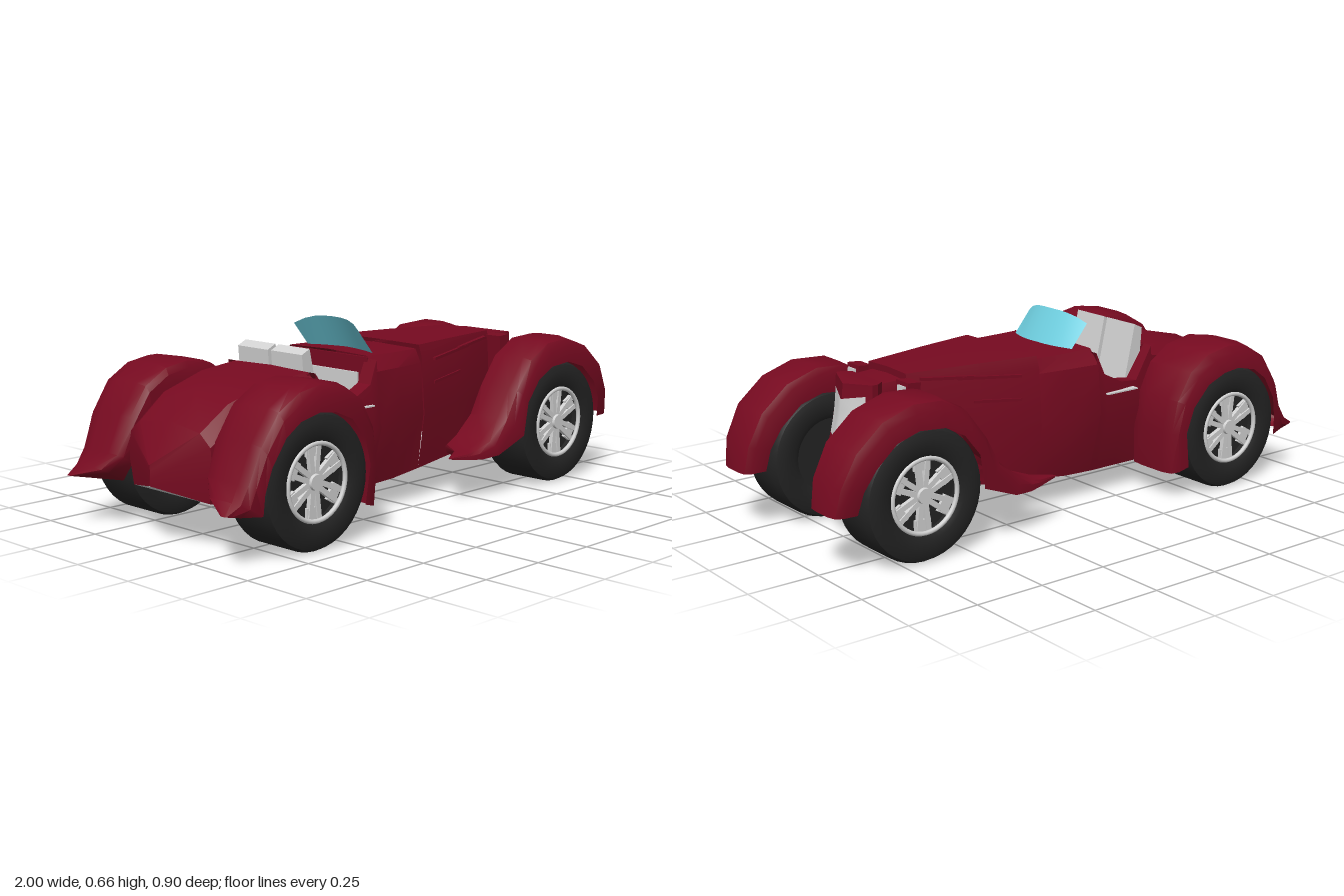
import * as THREE from 'three';
import { toCreasedNormals } from 'three/addons/utils/BufferGeometryUtils.js';

const mat = (name, color, side = THREE.DoubleSide) => {
  const m = new THREE.MeshStandardMaterial({ color, side });
  m.name = name;
  return m;
};

// Skin a list of equally long cross-sections, each a list of [x, y, z] points
function loft(sections, crease = 0.45) {
  const p = [];
  for (let i = 0; i + 1 < sections.length; i++) {
    for (let j = 0; j + 1 < sections[i].length; j++) {
      const a = sections[i][j], b = sections[i + 1][j], c = sections[i + 1][j + 1], d = sections[i][j + 1];
      p.push(...a, ...b, ...c, ...a, ...c, ...d);
    }
  }
  const g = new THREE.BufferGeometry();
  g.setAttribute('position', new THREE.Float32BufferAttribute(p, 3));
  return toCreasedNormals(g, crease);
}

// Mirror a half section (from +z edge to the centre) to the other side
const mirrored = half => [...half, ...half.slice().reverse().map(([x, y, z]) => [x, y, -z])];

export function createModel() {
  const car = new THREE.Group();
  const red = mat('body red', 0x760a20);
  const silver = mat('silver', 0xd2d2d2);
  const black = mat('tyre black', 0x232323);
  const glass = mat('glass blue', 0x6fcfe0);

  const add = (name, geometry, material, x = 0, y = 0, z = 0, parent = car) => {
    const m = new THREE.Mesh(geometry, material);
    m.name = name;
    m.position.set(x, y, z);
    parent.add(m);
    return m;
  };
  const box = (...s) => new THREE.BoxGeometry(...s);

  // Body stations: x, [z, y] from sill to top edge, then the centre height
  const station = (x, sill, waist, shoulder, top, yc) =>
    mirrored([...[sill, waist, shoulder, top].map(([z, y]) => [x, y, z]), [x, yc, 0]]);

  const tail = [
    station(-0.965, [0.003, 0.2], [0.003, 0.22], [0.003, 0.25], [0.002, 0.27], 0.27),
    station(-0.88, [0.19, 0.16], [0.21, 0.25], [0.2, 0.34], [0.15, 0.38], 0.4),
    station(-0.77, [0.2, 0.13], [0.215, 0.28], [0.21, 0.42], [0.16, 0.46], 0.48),
    station(-0.6, [0.2, 0.11], [0.22, 0.3], [0.215, 0.46], [0.17, 0.51], 0.52),
    station(-0.44, [0.2, 0.1], [0.225, 0.3], [0.22, 0.49], [0.18, 0.525], 0.53),
  ];
  add('tail', loft(tail), red);

  const cowl = [
    station(-0.17, [0.2, 0.1], [0.255, 0.32], [0.235, 0.5], [0.19, 0.55], 0.555),
    station(-0.05, [0.2, 0.105], [0.245, 0.32], [0.225, 0.5], [0.19, 0.548], 0.552),
    station(0.08, [0.2, 0.12], [0.225, 0.32], [0.21, 0.5], [0.185, 0.548], 0.552),
  ];
  add('cowl', loft(cowl), red);

  const hood = [
    station(0.08, [0.2, 0.12], [0.23, 0.32], [0.215, 0.52], [0.2, 0.563], 0.565),
    station(0.3, [0.18, 0.14], [0.185, 0.32], [0.175, 0.52], [0.16, 0.562], 0.565),
    station(0.56, [0.11, 0.15], [0.12, 0.32], [0.12, 0.52], [0.11, 0.558], 0.562),
    station(0.56, [0.1, 0.16], [0.1, 0.32], [0.1, 0.5], [0.09, 0.535], 0.54),
    station(0.68, [0.09, 0.18], [0.09, 0.32], [0.09, 0.5], [0.08, 0.53], 0.535),
  ];
  add('hood', loft(hood), red);

  // Flat floor pan following the sills
  const pan = [...tail, ...cowl, ...hood.slice(1, 3), hood[4]].map(s => [s[0], s[s.length - 1]]);
  add('floorPan', loft(pan), silver);

  // Open cockpit walls and lining: x, waist z, rim z, rim y
  const rims = [
    [-0.44, 0.225, 0.215, 0.525], [-0.36, 0.235, 0.225, 0.41], [-0.28, 0.25, 0.235, 0.42],
    [-0.2, 0.255, 0.235, 0.46], [-0.165, 0.255, 0.23, 0.54],
  ];
  for (const s of [1, -1]) {
    add('cockpitSide', loft(rims.map(([x, zw, zr, y]) => [
      [x, 0.1, 0.2 * s], [x, 0.31, zw * s], [x, y, zr * s], [x, y, 0.175 * s], [x, 0.37, 0.175 * s],
    ])), red);
    add('cockpitLining', box(0.26, 0.14, 0.008), silver, -0.3, 0.3, 0.175 * s);
    add('doorTrim', box(0.14, 0.005, 0.03), silver, -0.27, 0.39, 0.242 * s);
  }
  add('rearBulkhead', box(0.01, 0.36, 0.38), red, -0.445, 0.34, 0);
  add('dashboard', box(0.01, 0.4, 0.38), red, -0.165, 0.345, 0);
  add('dashPanel', box(0.009, 0.09, 0.3), silver, -0.174, 0.445, 0);

  // Pair of seats
  add('seatCushion', box(0.23, 0.1, 0.34), silver, -0.29, 0.29, 0);
  for (const s of [1, -1]) {
    const outline = [[-0.34, 0.28], [-0.41, 0.597], [-0.445, 0.58], [-0.42, 0.28]];
    const seat = new THREE.ExtrudeGeometry(
      new THREE.Shape(outline.map(p => new THREE.Vector2(...p)).reverse()), { depth: 0.15, bevelEnabled: false });
    add('seatBack', seat, silver, 0, 0, s > 0 ? 0.008 : -0.158);
  }

  // Curved windscreen leaning back
  const pane = [];
  for (let i = -4; i <= 4; i++) {
    const t = i / 4, bow = 0.035 * t * t;
    pane.push([[-0.075 - bow, 0.548, 0.16 * t], [-0.145 - bow, 0.666 - 0.034 * Math.abs(t) ** 3, 0.16 * t]]);
  }
  add('windscreen', loft(pane), glass);

  // V-shaped radiator shell, sweeping forward towards the foot
  const lean = y => 0.68 * (0.54 - y) ** 2;
  const shellAt = y => mirrored([
    [0.64, y, 0.09], [0.67 + lean(y) * 0.5, y, 0.112], [0.69 + lean(y), y, 0.112], [0.735 + lean(y), y - 0.008, 0],
  ]);
  add('radiatorShell', loft([0.185, 0.24, 0.3, 0.36, 0.44, 0.54].map(shellAt), 0.3), red);
  for (const y of [0.185, 0.54]) {
    const ring = shellAt(y);
    add('radiatorCap', loft([ring.slice(0, 4), ring.slice(4).reverse()], 0.2), red);
  }
  // Grille panels wrapped over the V front, with a notched upper edge
  const grillePoint = (y, t) => [0.741 + lean(y) - 0.045 * Math.abs(t), y, 0.112 * t];
  const across = [-0.82, -0.4, 0, 0.4, 0.82];
  for (const [y0, y1, dip] of [[0.22, 0.3, 0], [0.34, 0.5, 0.02]]) {
    add('grille', loft(across.map(t => {
      const low = y0 + 0.006 * Math.abs(t), high = y1 - dip * (1 - Math.abs(t) / 0.82);
      return [0, 0.25, 0.5, 0.75, 1].map(k => grillePoint(low + (high - low) * k, t));
    }), 1), silver);
  }

  for (const s of [1, -1]) {
    // Lamp housing beside the nose, its face tilted slightly up
    const lamp = new THREE.Group();
    lamp.name = 'lamp';
    lamp.position.set(0.58, 0.47, 0.147 * s);
    lamp.rotation.z = 0.08;
    add('lampHousing', box(0.05, 0.15, 0.07), red, 0, 0, 0, lamp);
    add('lampFace', box(0.008, 0.122, 0.043), silver, 0.027, 0, 0.002 * s, lamp);
    car.add(lamp);
    // Raised louvre strips along the hood
    for (const [x, y, l] of [[0.27, 0.515, 0.24], [0.24, 0.43, 0.18], [0.42, 0.53, 0.2]]) {
      const strip = add('hoodLouvre', box(l, 0.01, 0.016), red, x, y, (0.221 - (x - 0.08) * 0.2) * s);
      strip.rotation.set(0, 0.19 * s, 0.08);
    }
  }

  // Fender stations: crown x, y, lip x, y, inner z, outer z
  const frontFender = [
    [1.0, 0.215, 0.92, 0.215, 0.2, 0.365], [0.985, 0.31, 0.905, 0.29, 0.19, 0.38],
    [0.93, 0.42, 0.862, 0.36, 0.185, 0.39], [0.83, 0.505, 0.785, 0.427, 0.185, 0.39],
    [0.71, 0.545, 0.7, 0.453, 0.185, 0.39], [0.6, 0.54, 0.6, 0.445, 0.185, 0.39],
    [0.5, 0.485, 0.525, 0.405, 0.185, 0.39], [0.42, 0.38, 0.465, 0.33, 0.185, 0.39],
    [0.36, 0.28, 0.445, 0.21, 0.185, 0.388], [0.28, 0.215, 0.31, 0.158, 0.19, 0.382],
    [0.22, 0.188, 0.235, 0.152, 0.2, 0.368], [0.18, 0.18, 0.19, 0.156, 0.278, 0.357],
    [0.1, 0.172, 0.11, 0.165, 0.325, 0.335],
  ];
  const rearFender = [
    [-0.36, 0.1, -0.43, 0.12, 0.2, 0.435], [-0.355, 0.25, -0.412, 0.25, 0.2, 0.44],
    [-0.375, 0.37, -0.44, 0.34, 0.2, 0.445], [-0.43, 0.47, -0.505, 0.415, 0.2, 0.45],
    [-0.51, 0.525, -0.58, 0.447, 0.2, 0.452], [-0.62, 0.546, -0.65, 0.455, 0.2, 0.452],
    [-0.71, 0.532, -0.73, 0.437, 0.2, 0.452], [-0.8, 0.48, -0.79, 0.395, 0.2, 0.45],
    [-0.87, 0.38, -0.845, 0.31, 0.2, 0.445], [-0.92, 0.26, -0.866, 0.23, 0.21, 0.435],
    [-0.955, 0.21, -0.87, 0.16, 0.26, 0.43], [-1.0, 0.178, -0.94, 0.165, 0.375, 0.405],
  ];
  const fender = (rows, s) => loft(rows.map(([cx, cy, lx, ly, zi, zo]) => {
    const at = (t, u) => [cx + (lx - cx) * t, cy + (ly - cy) * t, (zi + (zo - zi) * u) * s];
    return [at(1, 0), at(0.3, 0.01), at(0.06, 0.08), at(0, 0.28), at(0, 0.72), at(0.1, 0.9), at(0.4, 0.98), at(1, 1)];
  }), 0.7);

  // Wheel, built around z with its outer face towards +z
  const w = 0.1;
  const tyreProfile = [
    [0.13, -w + 0.012], [0.15, -w], [0.195, -w], [0.216, -w + 0.008], [0.225, -w + 0.025],
    [0.225, w - 0.025], [0.216, w - 0.008], [0.195, w], [0.15, w], [0.13, w - 0.012], [0.13, -w + 0.012],
  ].map(p => new THREE.Vector2(...p));
  const tyreGeo = toCreasedNormals(new THREE.LatheGeometry(tyreProfile, 40).rotateX(Math.PI / 2), 0.6);
  const discGeo = new THREE.CylinderGeometry(0.131, 0.131, 0.11, 32).rotateX(Math.PI / 2);
  const rimGeo = new THREE.TorusGeometry(0.125, 0.008, 8, 40);
  const hubGeo = new THREE.CylinderGeometry(0.025, 0.032, 0.03, 16).rotateX(Math.PI / 2);
  const spokeGeo = box(0.1, 0.018, 0.016);
  const braceGeo = box(0.04, 0.06, 0.012);
  function wheel(name, x, z, s) {
    const g = new THREE.Group();
    g.name = name;
    g.position.set(x, 0.228, z * s);
    if (s < 0) g.rotation.y = Math.PI;
    add('tyre', tyreGeo, black, 0, 0, 0, g);
    add('rimDisc', discGeo, black, 0, 0, 0, g);
    add('rim', rimGeo, silver, 0, 0, w - 0.012, g);
    add('hub', hubGeo, silver, 0, 0, 0.075, g);
    for (let i = 0; i < 6; i++) {
      const arm = new THREE.Group();
      arm.name = 'spokePair';
      arm.rotation.z = (i * Math.PI) / 3 + Math.PI / 6;
      for (const k of [1, -1]) {
        add('spoke', spokeGeo, silver, 0.073, 0.014 * k, 0.073, arm).rotation.z = 0.12 * k;
      }
      add('spokeFoot', braceGeo, silver, 0.102, 0, 0.07, arm);
      g.add(arm);
    }
    car.add(g);
  }

  for (const s of [1, -1]) {
    add('frontFender', fender(frontFender, s), red);
    add('rearFender', fender(rearFender, s), red);
    wheel('frontWheel', 0.67, 0.282, s);
    wheel('rearWheel', -0.64, 0.338, s);
  }
  return car;
}
